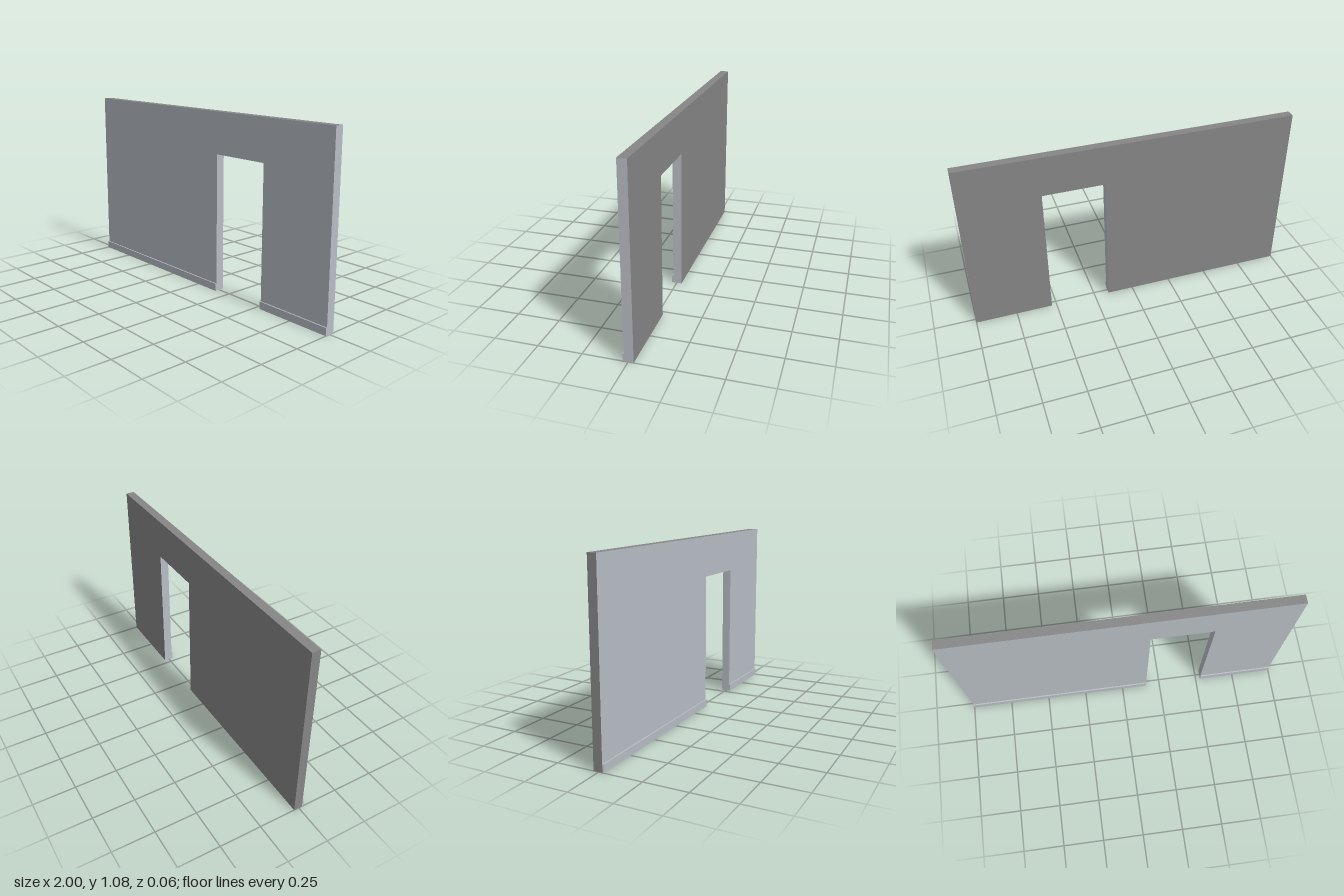
import * as THREE from 'three';

const HEIGHT = 1.075, BACK = -0.03, FACE = 0.022, FRONT = 0.03;
const DOOR = { left: 0.16, right: 0.53, top: 0.83 };
const SKIRT_HEIGHT = 0.045;

export function createModel() {
  const group = new THREE.Group();
  const paint = new THREE.MeshStandardMaterial({ color: 0xb8bec5 });
  paint.name = 'pale blue grey paint';
  const bare = new THREE.MeshStandardMaterial({ color: 0x868686 });
  bare.name = 'bare grey';

  // Wall slab with a doorway open at the floor
  const outline = new THREE.Shape([
    [-1, 0], [DOOR.left, 0], [DOOR.left, DOOR.top], [DOOR.right, DOOR.top],
    [DOOR.right, 0], [1, 0], [1, HEIGHT], [-1, HEIGHT],
  ].map(([x, y]) => new THREE.Vector2(x, y)));
  const slab = new THREE.ExtrudeGeometry(outline, { depth: FACE - BACK, bevelEnabled: false });
  slab.translate(0, 0, BACK);

  // Paint the front, the door reveals and the +x end; the rest stays bare
  const pos = slab.attributes.position, normal = slab.attributes.normal;
  slab.clearGroups();
  for (let i = 0; i < pos.count; i += 3) {
    const nx = normal.getX(i), ny = normal.getY(i), nz = normal.getZ(i);
    const front = nz > 0.5;
    const sideFace = Math.abs(nx) > 0.5 && pos.getX(i) > -0.99;
    const lintel = ny < -0.5 && pos.getY(i) > 0.5;
    slab.addGroup(i, 3, front || sideFace || lintel ? 0 : 1);
  }
  const wall = new THREE.Mesh(slab, [paint, bare]);
  wall.name = 'wall';
  group.add(wall);

  // Skirting boards on either side of the doorway
  for (const [name, x0, x1] of [['skirtingRight', -1, DOOR.left], ['skirtingLeft', DOOR.right, 1]]) {
    const board = new THREE.Mesh(new THREE.BoxGeometry(x1 - x0, SKIRT_HEIGHT, FRONT - FACE), paint);
    board.position.set((x0 + x1) / 2, SKIRT_HEIGHT / 2, (FRONT + FACE) / 2);
    board.name = name;
    group.add(board);
  }
  return group;
}
